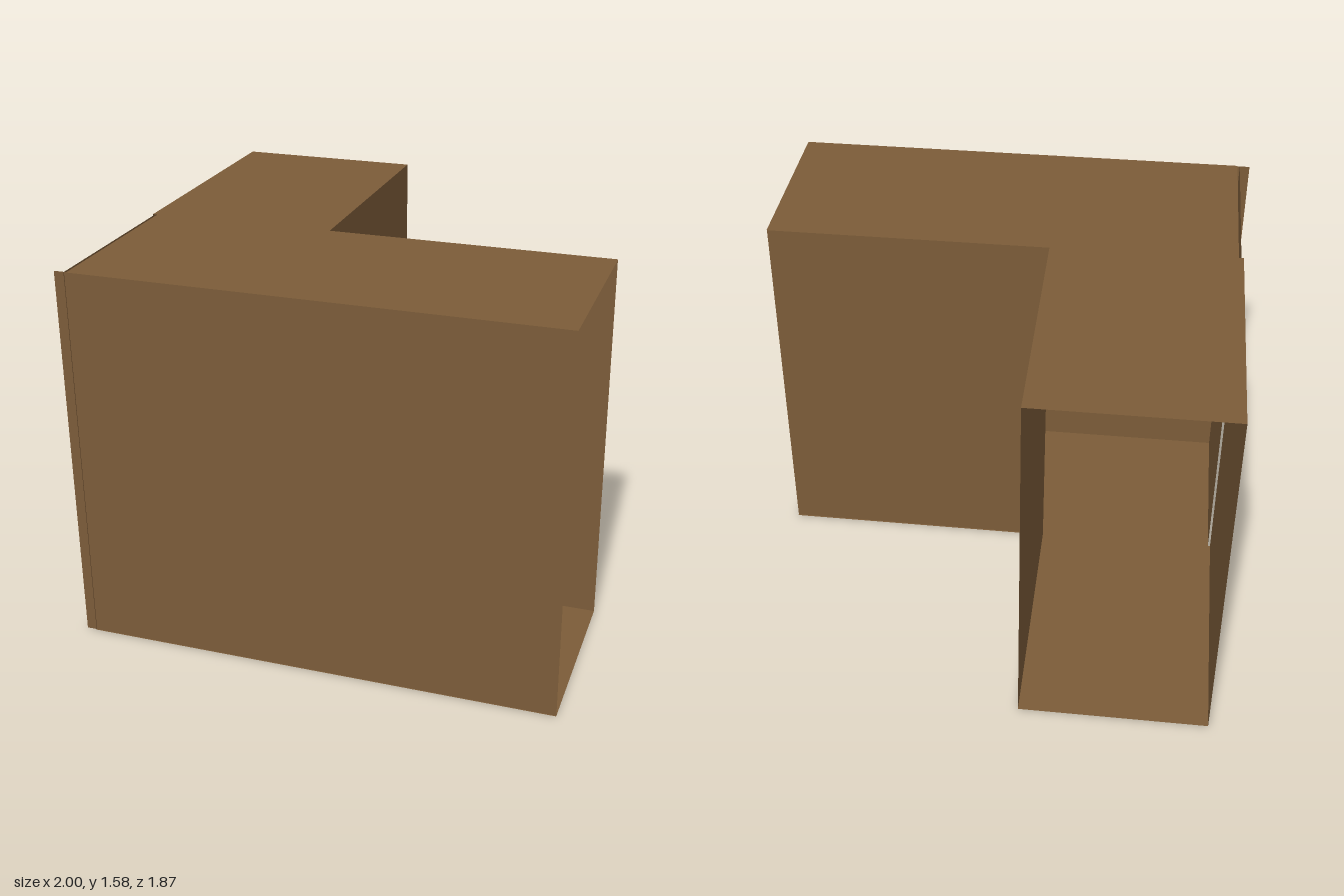
import * as THREE from 'three';

const H = 1.58;        // height
const ZF = 0.936;      // front and rear limits
const IX = -0.18;      // inner corner
const IZ = 0.15;

export function createModel() {
  const group = new THREE.Group();
  group.name = 'cornerPassage';
  const material = new THREE.MeshStandardMaterial({ color: 0x7c5c39, side: THREE.DoubleSide, flatShading: true });

  const add = (name, geometry) => {
    const mesh = new THREE.Mesh(geometry, material);
    mesh.name = name;
    group.add(mesh);
    return mesh;
  };

  // Thin upright panel between two floor points
  const wall = (name, x0, z0, x1, z1) => {
    const mesh = add(name, new THREE.PlaneGeometry(Math.hypot(x1 - x0, z1 - z0), H));
    mesh.position.set((x0 + x1) / 2, H / 2, (z0 + z1) / 2);
    mesh.rotation.y = -Math.atan2(z1 - z0, x1 - x0);
  };

  // L-shaped slab, with its corner section set slightly inward
  const slab = (name, y, cornerX) => {
    const outline = [
      [cornerX, ZF], [1, ZF], [1, IZ - 0.006], [IX, IZ - 0.006],
      [IX, -ZF], [-0.967, -ZF], [-0.967, IZ + 0.006], [cornerX, IZ + 0.006],
    ];
    const shape = new THREE.Shape(outline.map(([x, z]) => new THREE.Vector2(x, -z)));
    const mesh = add(name, new THREE.ShapeGeometry(shape));
    mesh.rotation.x = -Math.PI / 2;
    mesh.position.y = y;
  };

  slab('floor', 0, -0.957);
  slab('roof', H, -0.947);

  // Outer walls; the front one runs a little past the corner
  wall('frontWall', -1, ZF - 0.004, 1, ZF - 0.004);
  wall('outerCornerWall', -0.957, IZ + 0.006, -0.957, ZF);
  wall('outerRearWall', -0.967, -ZF, -0.967, IZ + 0.006);

  // Inner walls; both passage ends stay open
  wall('innerRearWall', IX, -ZF, IX, IZ);
  wall('innerSideWall', IX, IZ, 1, IZ);

  return group;
}
